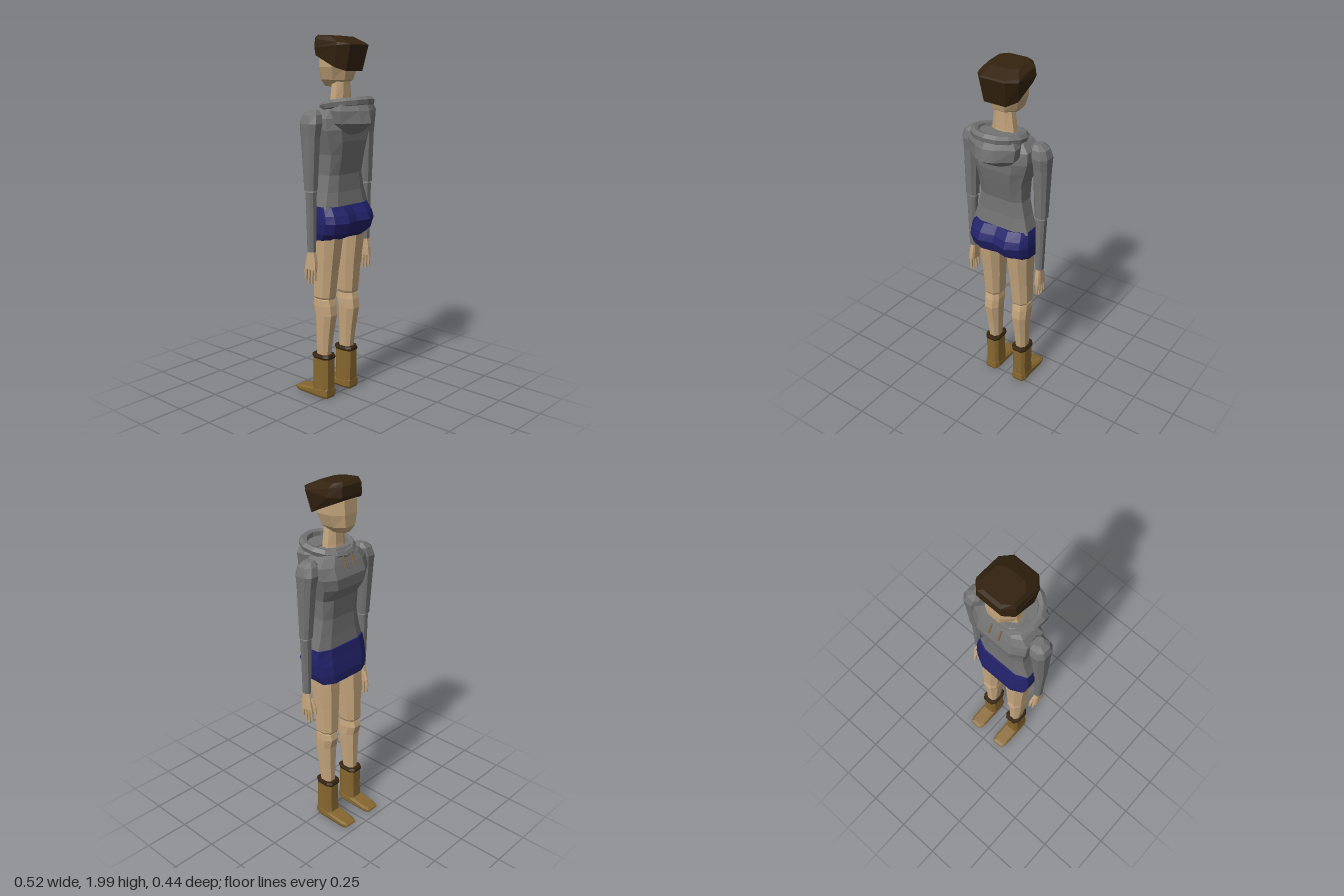
import * as THREE from 'three';

const mat = (name, color) => Object.assign(new THREE.MeshStandardMaterial({ color, flatShading: true }), { name });

// Unit eight-sided outline; c sets how boxy it is
const octagon = (c) => [[1, -c], [1, c], [c, 1], [-c, 1], [-1, c], [-1, -c], [-c, -1], [c, -1]];

// Closed body through rings, bottom to top: [y, x0, x1, z0, z1, tilt of y towards +z]
function loft(rings, outline = octagon(0.45)) {
  const n = outline.length, pos = [], idx = [];
  for (const [y, x0, x1, z0, z1, tilt = 0] of rings)
    for (const [u, v] of outline)
      pos.push((x0 + x1) / 2 + u * (x1 - x0) / 2, y + tilt * v, (z0 + z1) / 2 + v * (z1 - z0) / 2);
  for (let i = 0; i < rings.length - 1; i++)
    for (let j = 0; j < n; j++) {
      const a = i * n + j, b = i * n + (j + 1) % n;
      idx.push(a, a + n, b, a + n, b + n, b);
    }
  // End caps
  [0, rings.length - 1].forEach((r, top) => {
    const [y, x0, x1, z0, z1] = rings[r], c = pos.length / 3;
    pos.push((x0 + x1) / 2, y, (z0 + z1) / 2);
    for (let j = 0; j < n; j++) {
      const a = r * n + j, b = r * n + (j + 1) % n;
      if (top) idx.push(c, b, a); else idx.push(c, a, b);
    }
  });
  const g = new THREE.BufferGeometry();
  g.setAttribute('position', new THREE.Float32BufferAttribute(pos, 3));
  g.setIndex(idx);
  const flat = g.toNonIndexed();
  flat.computeVertexNormals();
  return flat;
}

export function createModel() {
  const model = new THREE.Group();
  model.name = 'figure';
  const skin = mat('skin', 0xc4a57c), grey = mat('grey cloth', 0x737373), navy = mat('navy cloth', 0x22226a);
  const hairMat = mat('dark brown hair', 0x33220f), tan = mat('tan leather', 0x86662f), cuffMat = mat('dark cuff', 0x35240f);

  const add = (name, geo, material) => {
    const m = new THREE.Mesh(geo, material);
    m.name = name;
    model.add(m);
    return m;
  };

  // Head, neck and hair
  add('head', loft([
    [1.73, -0.04, 0.04, -0.085, 0.01], [1.765, -0.075, 0.075, -0.105, 0.065],
    [1.83, -0.098, 0.098, -0.108, 0.085], [1.9, -0.1, 0.1, -0.105, 0.095],
    [1.95, -0.085, 0.085, -0.09, 0.08]]), skin);
  add('neck', loft([[1.6, -0.072, 0.072, -0.04, 0.055], [1.66, -0.064, 0.064, -0.032, 0.05],
    [1.77, -0.05, 0.05, -0.03, 0.05]]), skin);
  add('hair', loft([
    [1.86, -0.105, 0.11, -0.118, 0.1, -0.05], [1.935, -0.112, 0.13, -0.122, 0.13, 0.008],
    [1.965, -0.105, 0.122, -0.12, 0.12, -0.015], [1.99, -0.088, 0.09, -0.105, 0.05, -0.006]], octagon(0.6)), hairMat);

  // Hooded top
  add('torso', loft([
    [1.09, -0.174, 0.174, -0.068, 0.085], [1.18, -0.148, 0.148, -0.062, 0.072],
    [1.27, -0.13, 0.13, -0.06, 0.068], [1.38, -0.135, 0.135, -0.072, 0.092],
    [1.45, -0.155, 0.155, -0.112, 0.105], [1.51, -0.172, 0.172, -0.116, 0.108],
    [1.57, -0.17, 0.17, -0.095, 0.095], [1.61, -0.135, 0.135, -0.078, 0.075],
    [1.645, -0.08, 0.08, -0.055, 0.06]], octagon(0.62)), grey);
  const hoodOutline = [[0.8, -1], [1, -0.4], [1, 0.15], [0.4, 0.78], [0, 1], [-0.4, 0.78], [-1, 0.15], [-1, -0.4], [-0.8, -1]];
  add('hoodBag', loft([
    [1.485, -0.08, 0.08, 0.05, 0.12], [1.545, -0.135, 0.135, 0.02, 0.217],
    [1.61, -0.145, 0.145, 0.03, 0.205], [1.65, -0.125, 0.125, 0.04, 0.185]], hoodOutline), grey);
  const half = [[0.07, 1.62, -0.05], [0.125, 1.637, 0.02], [0.122, 1.65, 0.1], [0.055, 1.658, 0.165]];
  const loop = [[0, 1.61, -0.065], ...half, [0, 1.66, 0.178], ...half.slice().reverse().map(([x, y, z]) => [-x, y, z])];
  const rim = new THREE.CatmullRomCurve3(loop.map((p) => new THREE.Vector3(...p)), true);
  add('hoodRim', new THREE.TubeGeometry(rim, 14, 0.024, 6, true), grey);

  // Shorts, with a crease at the back
  const shortsOutline = [[1, -0.65], [1, 0.35], [0.85, 0.72], [0.45, 1], [0, 0.84], [-0.45, 1], [-0.85, 0.72],
    [-1, 0.35], [-1, -0.65], [-0.62, -1], [0.62, -1]];
  add('shorts', loft([
    [0.92, -0.165, 0.165, -0.103, 0.08, 0.006], [0.96, -0.18, 0.18, -0.104, 0.125],
    [1.02, -0.186, 0.186, -0.094, 0.146], [1.06, -0.182, 0.182, -0.085, 0.13],
    [1.105, -0.172, 0.172, -0.076, 0.095]], shortsOutline), navy);

  for (const [s, side] of [[1, 'left'], [-1, 'right']]) {
    // Left-hand measures, mirrored for the other side
    const limb = (name, rings, material, c = 0.5) => add(side + name,
      loft(rings.map(([y, a, b, ...r]) => [y, Math.min(s * a, s * b), Math.max(s * a, s * b), ...r]), octagon(c)), material);

    // Sleeves
    limb('UpperSleeve', [
      [1.2, 0.19, 0.255, -0.035, 0.03], [1.48, 0.177, 0.259, -0.057, 0.042], [1.545, 0.165, 0.262, -0.065, 0.05],
      [1.59, 0.16, 0.248, -0.052, 0.04], [1.613, 0.172, 0.215, -0.03, 0.022]], grey);
    limb('LowerSleeve', [[0.87, 0.202, 0.241, -0.023, 0.022], [1.05, 0.198, 0.246, -0.026, 0.025],
      [1.19, 0.194, 0.251, -0.028, 0.026], [1.21, 0.205, 0.24, -0.018, 0.016]], grey);

    // Hand with four fingers and a thumb
    limb('Palm', [[0.775, 0.206, 0.24, -0.042, 0.033], [0.82, 0.204, 0.238, -0.036, 0.03],
      [0.885, 0.205, 0.235, -0.018, 0.018]], skin, 0.6);
    [0.705, 0.69, 0.695, 0.715].forEach((tip, i) => {
      const z = -0.034 + i * 0.02, zt = z * 1.15 - 0.004;
      limb('Finger' + (i + 1), [[tip, 0.217, 0.229, zt - 0.005, zt + 0.005],
        [0.785, 0.215, 0.233, z - 0.008, z + 0.008]], skin);
    });
    limb('Thumb', [[0.745, 0.205, 0.217, -0.063, -0.051], [0.79, 0.203, 0.22, -0.057, -0.038],
      [0.835, 0.206, 0.222, -0.037, -0.018]], skin);

    // Legs
    limb('Thigh', [
      [0.575, 0.052, 0.135, -0.075, 0.025], [0.595, 0.042, 0.147, -0.086, 0.033], [0.75, 0.032, 0.15, -0.087, 0.05],
      [0.88, 0.024, 0.156, -0.087, 0.068], [0.98, 0.018, 0.16, -0.085, 0.08]], skin);
    limb('Shin', [
      [0.22, 0.063, 0.125, -0.072, 0.004], [0.36, 0.055, 0.134, -0.073, 0.022], [0.49, 0.046, 0.143, -0.076, 0.043],
      [0.545, 0.045, 0.145, -0.09, 0.038], [0.58, 0.05, 0.143, -0.08, 0.028], [0.592, 0.06, 0.13, -0.065, 0.015]], skin);

    // Boots
    limb('BootShaft', [[0.02, 0.052, 0.14, -0.092, 0.022], [0.12, 0.053, 0.138, -0.088, 0.022],
      [0.24, 0.053, 0.137, -0.088, 0.022]], tan, 0.65);
    limb('BootFoot', [[0.004, 0.06, 0.136, -0.208, 0.018], [0.018, 0.05, 0.142, -0.22, 0.024],
      [0.04, 0.051, 0.141, -0.217, 0.023, 0.014], [0.052, 0.062, 0.132, -0.2, 0.012, 0.018]], tan, 0.75);
    limb('BootCuff', [[0.234, 0.05, 0.14, -0.092, 0.026], [0.246, 0.046, 0.143, -0.096, 0.029],
      [0.257, 0.052, 0.138, -0.09, 0.024]], cuffMat, 0.6);

    // Drawstring
    const cord = add(side + 'Drawstring', new THREE.CylinderGeometry(0.004, 0.005, 0.07, 6), tan);
    cord.position.set(s * 0.03, 1.585, -0.096);
    cord.rotation.x = 0.36;
  }
  // Feet rest on the ground
  const low = new THREE.Box3().setFromObject(model).min.y;
  model.children.forEach((m) => { m.position.y -= low; });
  return model;
}
